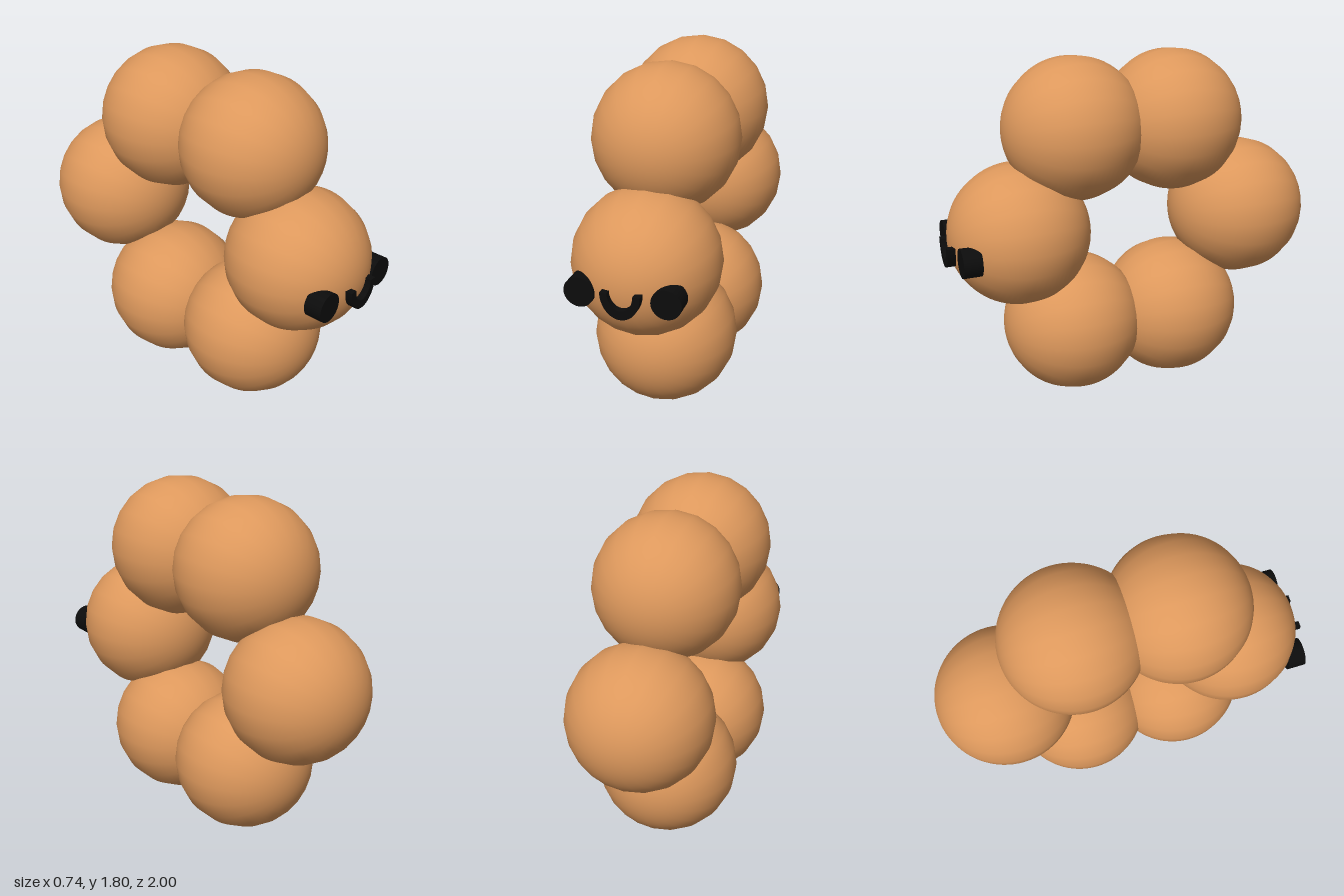
import * as THREE from 'three';

const RADIUS = 0.37;

export function createModel() {
  const group = new THREE.Group();
  const brown = new THREE.MeshStandardMaterial({ color: 0xdd985c });
  const black = new THREE.MeshStandardMaterial({ color: 0x0c0c0c });

  const add = (name, geometry, material, x, y, z) => {
    const mesh = new THREE.Mesh(geometry, material);
    mesh.name = name;
    mesh.position.set(x, y, z);
    group.add(mesh);
    return mesh;
  };

  // Ring of six overlapping balls, poles along z
  const ball = new THREE.SphereGeometry(RADIUS, 20, 40).rotateX(Math.PI / 2);
  const balls = [
    ['frontBall', 0.91, 0.605],
    ['upperFrontBall', 1.435, 0.3],
    ['upperBackBall', 1.435, -0.24],
    ['backBall', 0.91, -0.63],
    ['lowerBackBall', 0.37, -0.24],
    ['lowerFrontBall', 0.37, 0.325],
  ];
  for (const [name, y, z] of balls) add(name, ball, brown, 0, y, z);

  // Eyes: short round pegs
  const eye = new THREE.CylinderGeometry(0.075, 0.075, 0.095, 32).rotateX(Math.PI / 2);
  add('leftEye', eye, black, 0.213, 0.872, 0.912);
  add('rightEye', eye, black, -0.213, 0.872, 0.912);

  // Smile: U-shaped band pushed through the front ball
  const smile = new THREE.Shape();
  smile.absellipse(0, 0, 0.098, 0.127, Math.PI, 2 * Math.PI, false);
  smile.absellipse(0, 0, 0.062, 0.082, 2 * Math.PI, Math.PI, true);
  const smileGeometry = new THREE.ExtrudeGeometry(smile, { depth: 0.1, bevelEnabled: false, curveSegments: 20 });
  add('smile', smileGeometry, black, 0.005, 0.91, 0.9);

  return group;
}
